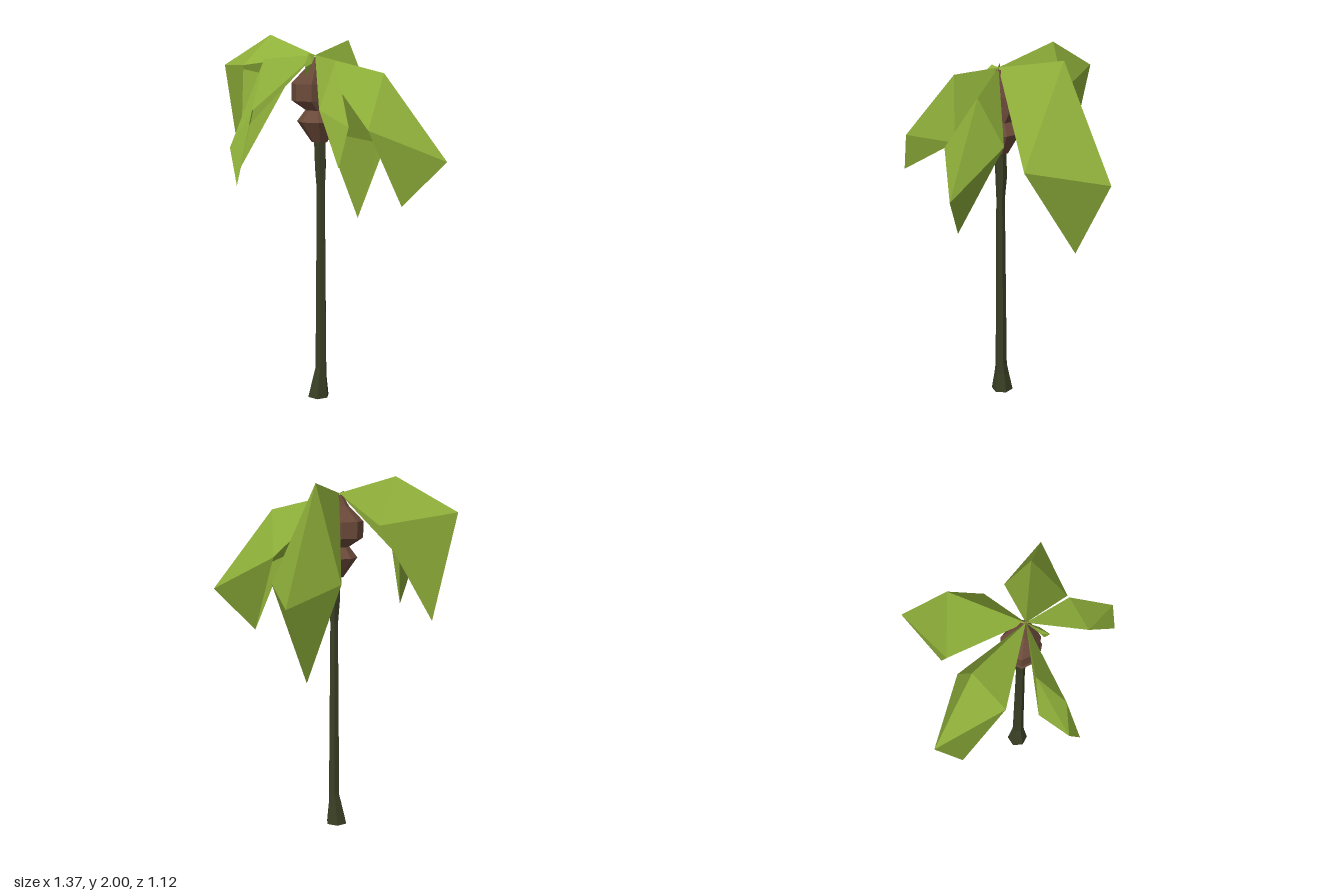
import * as THREE from 'three';

const material = (color, side = THREE.FrontSide) =>
  new THREE.MeshStandardMaterial({ color, side, flatShading: true, roughness: 0.9 });

// Flat-faced mesh from corner points and triangle indices
function facets(name, points, faces, mat) {
  const geo = new THREE.BufferGeometry();
  geo.setAttribute('position', new THREE.Float32BufferAttribute(points.flat(), 3));
  geo.setIndex(faces.flat());
  const flat = geo.toNonIndexed();
  flat.computeVertexNormals();
  const mesh = new THREE.Mesh(flat, mat);
  mesh.name = name;
  return mesh;
}

// Closed tube through rings of [x, y, z, radius], bottom to top
function loft(name, rings, sides, turn, mat) {
  const points = [], faces = [];
  for (const [x, y, z, r] of rings)
    for (let i = 0; i < sides; i++) {
      const a = turn + (i / sides) * Math.PI * 2;
      points.push([x + r * Math.sin(a), y, z + r * Math.cos(a)]);
    }
  for (let k = 0; k < rings.length - 1; k++)
    for (let i = 0; i < sides; i++) {
      const j = (i + 1) % sides, a = k * sides, b = a + sides;
      faces.push([a + i, a + j, b + j], [a + i, b + j, b + i]);
    }
  const top = (rings.length - 1) * sides;
  for (let i = 1; i < sides - 1; i++)
    faces.push([0, i + 1, i], [top, top + i, top + i + 1]);
  return facets(name, points, faces, mat);
}

export function createModel() {
  const group = new THREE.Group();
  const bark = material(0x3a3f25);
  const husk = material(0x6b4a3a);
  const green = material(0x8fb03a, THREE.DoubleSide);

  // Slim trunk with a flared foot
  group.add(loft('trunk', [
    [-0.02, 0, 0.1, 0.062], [-0.012, 0.11, 0.1, 0.042], [-0.005, 0.17, 0.1, 0.033],
    [-0.005, 1.18, 0.098, 0.024], [-0.008, 1.3, 0.095, 0.032], [-0.01, 1.47, 0.1, 0.034],
  ], 6, 0.2, bark));

  // Knobbly crown: lower bulb, neck and upper bulb
  group.add(loft('crown', [
    [-0.01, 1.44, 0.1, 0.045], [-0.025, 1.55, 0.1, 0.108], [-0.03, 1.61, 0.1, 0.058],
    [-0.065, 1.66, 0.1, 0.1], [-0.065, 1.75, 0.1, 0.1], [-0.035, 1.83, 0.11, 0.05],
    [-0.03, 1.89, 0.11, 0.02],
  ], 7, 0.4, husk));

  // Each frond: ridge middle, two side corners, ridge end, drooping tip
  const root = [-0.03, 1.9, 0.115];
  const fronds = {
    leftFrond: [[0.34, 1.81, 0.09], [0.31, 1.53, 0.29], [0.31, 1.56, -0.04],
      [0.685, 1.36, 0.105], [0.46, 1.12, 0.16]],
    backFrond: [[0.04, 1.97, -0.27], [0.3, 1.43, -0.145], [-0.095, 1.45, -0.275],
      [0.145, 1.36, -0.565], [0.075, 0.94, -0.36]],
    rightFrond: [[-0.355, 2, -0.085], [-0.28, 1.75, -0.175], [-0.45, 1.84, 0.085],
      [-0.685, 1.825, -0.21], [-0.56, 1.245, -0.12]],
    frontRightFrond: [[-0.285, 1.88, 0.2], [-0.355, 1.54, 0.235], [-0.295, 1.62, 0.36],
      [-0.405, 1.43, 0.4], [-0.345, 1.24, 0.46]],
    frontLeftFrond: [[0.14, 1.88, 0.3], [0.09, 1.64, 0.42], [0.2, 1.53, 0.28],
      [0.275, 1.57, 0.525], [0.235, 1.37, 0.56]],
    sprout: [[-0.05, 1.91, 0.16], [-0.06, 1.86, 0.19], [-0.025, 1.86, 0.18],
      [-0.045, 1.84, 0.235], [-0.045, 1.79, 0.21]],
  };
  // Corners: 0 root, 1 ridge, 2 and 3 sides, 4 ridge end, 5 tip
  const faces = [[0, 2, 1], [0, 1, 3], [1, 2, 4], [1, 4, 3], [4, 2, 5], [4, 5, 3]];
  for (const [name, corners] of Object.entries(fronds))
    group.add(facets(name, [root, ...corners], faces, green));

  return group;
}
